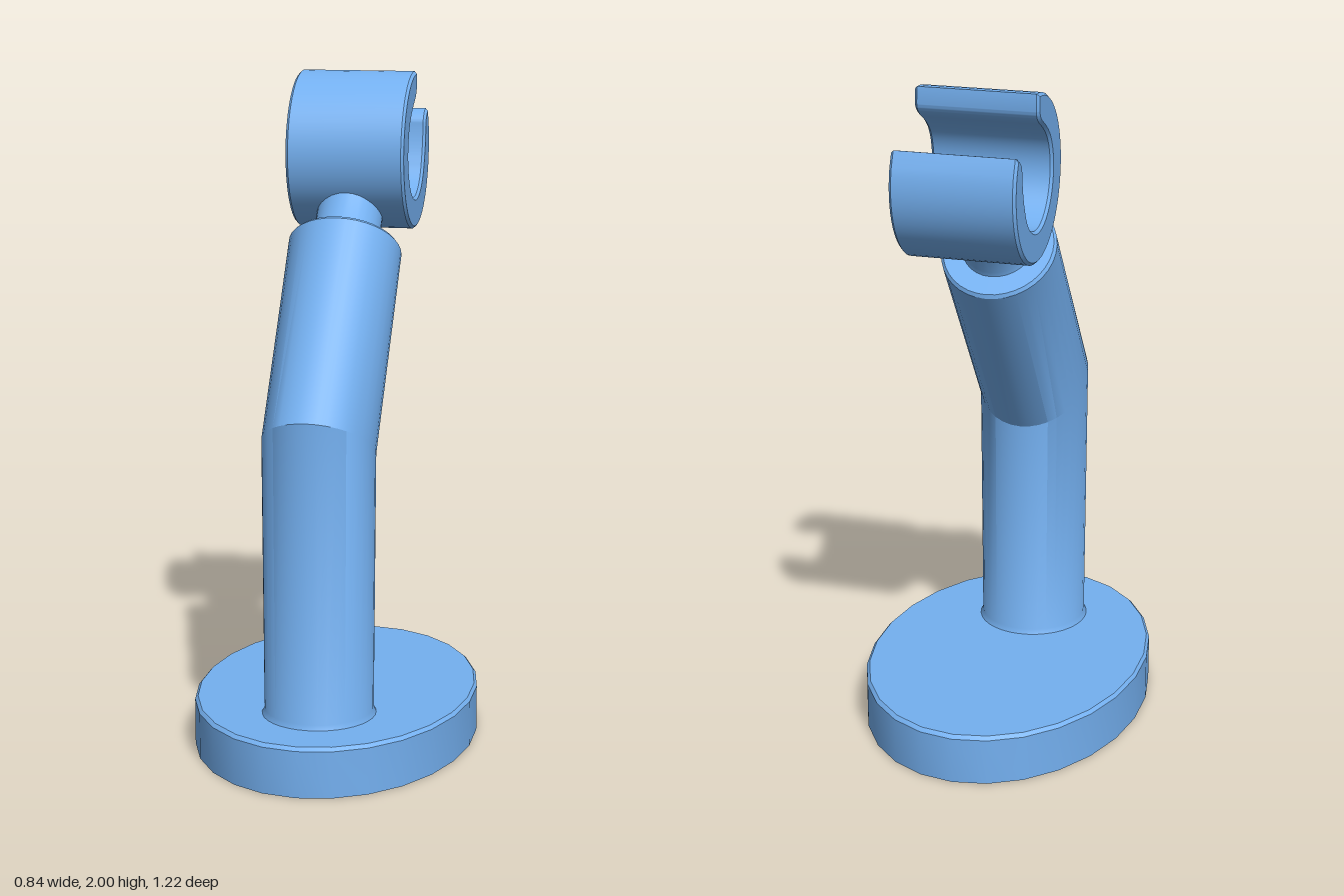
import * as THREE from 'three';
import { toCreasedNormals } from 'three/addons/utils/BufferGeometryUtils.js';

const material = new THREE.MeshStandardMaterial({ color: 0x74b0f0 });

function part(name, geometry, crease = 0.5) {
  const mesh = new THREE.Mesh(toCreasedNormals(geometry, crease), material);
  mesh.name = name;
  return mesh;
}

// Skin over elliptical rings in order: centre (y, z), half-width in x, and half-axis (y, z)
function loft(rings, sides = 36) {
  const pos = [], idx = [];
  rings.forEach(([cy, cz, rx, hy, hz], i) => {
    for (let j = 0; j < sides; j++) {
      const a = (j / sides) * Math.PI * 2, s = Math.sin(a);
      pos.push(rx * Math.cos(a), cy + hy * s, cz + hz * s);
      if (i === 0) continue;
      const b = i * sides + j, b2 = i * sides + (j + 1) % sides;
      idx.push(b - sides, b, b2 - sides, b, b2, b2 - sides);
    }
  });
  const g = new THREE.BufferGeometry();
  g.setAttribute('position', new THREE.Float32BufferAttribute(pos, 3));
  g.setIndex(idx);
  return g;
}

export function createModel() {
  const group = new THREE.Group();

  // Oval foot with a softened top edge
  const profile = [[0, 0], [1, 0], [1, 0.14], [0.98, 0.15], [0, 0.15]];
  const foot = new THREE.LatheGeometry(profile.map(([r, y]) => new THREE.Vector2(r, y)), 26);
  foot.scale(0.425, 1, 0.61);
  group.add(part('foot', foot));

  // Leaning axis of the upper arm: end point, direction and cross direction (y, z)
  const dir = [0.781, -0.625], end = [1.49, -0.1175];
  const leaning = (t, r, rx = r) =>
    [end[0] + dir[0] * t, end[1] + dir[1] * t, rx, r * 0.625, r * 0.781];

  // Bent arm: upright post, mitred bend, leaning tube with a capped end
  group.add(part('arm', loft([
    [0.145, 0.28, 0.172, 0, 0.18],
    [0.165, 0.28, 0.162, 0, 0.17],
    [0.955, 0.28, 0.167, 0.105, 0.17],
    leaning(-0.01, 0.176, 0.171),
    leaning(0, 0.168, 0.163),
    leaning(0, 0),
  ])));

  // Thin neck between the arm and the clip
  group.add(part('neck', loft([
    leaning(-0.01, 0.11), leaning(0.012, 0.1), leaning(0.154, 0.1), leaning(0.154, 0),
  ], 28)));

  // Open ring clip with flared lips, drawn from the side about its own centre
  const rad = THREE.MathUtils.degToRad;
  const shape = new THREE.Shape();
  shape.absarc(0, 0, 0.24, rad(90), rad(376), false);
  shape.lineTo(0.212, 0.11);
  shape.quadraticCurveTo(0.18, 0.105, 0.165, 0.075);
  shape.quadraticCurveTo(0.16, 0.0, 0.137, -0.047);
  shape.absarc(0, 0, 0.145, rad(341), rad(140), true);
  shape.quadraticCurveTo(-0.08, 0.125, -0.03, 0.15);
  shape.quadraticCurveTo(0.003, 0.17, 0.004, 0.195);
  shape.closePath();
  const bevel = 0.008;
  const clip = new THREE.ExtrudeGeometry(shape, {
    depth: 0.36 - 2 * bevel, curveSegments: 22, bevelEnabled: true,
    bevelThickness: bevel, bevelSize: bevel, bevelOffset: -bevel, bevelSegments: 1,
  });
  clip.translate(0, 0, -0.18 + bevel);
  clip.rotateY(Math.PI / 2);
  clip.translate(0, 1.76, -0.33);
  group.add(part('clip', clip));

  return group;
}
